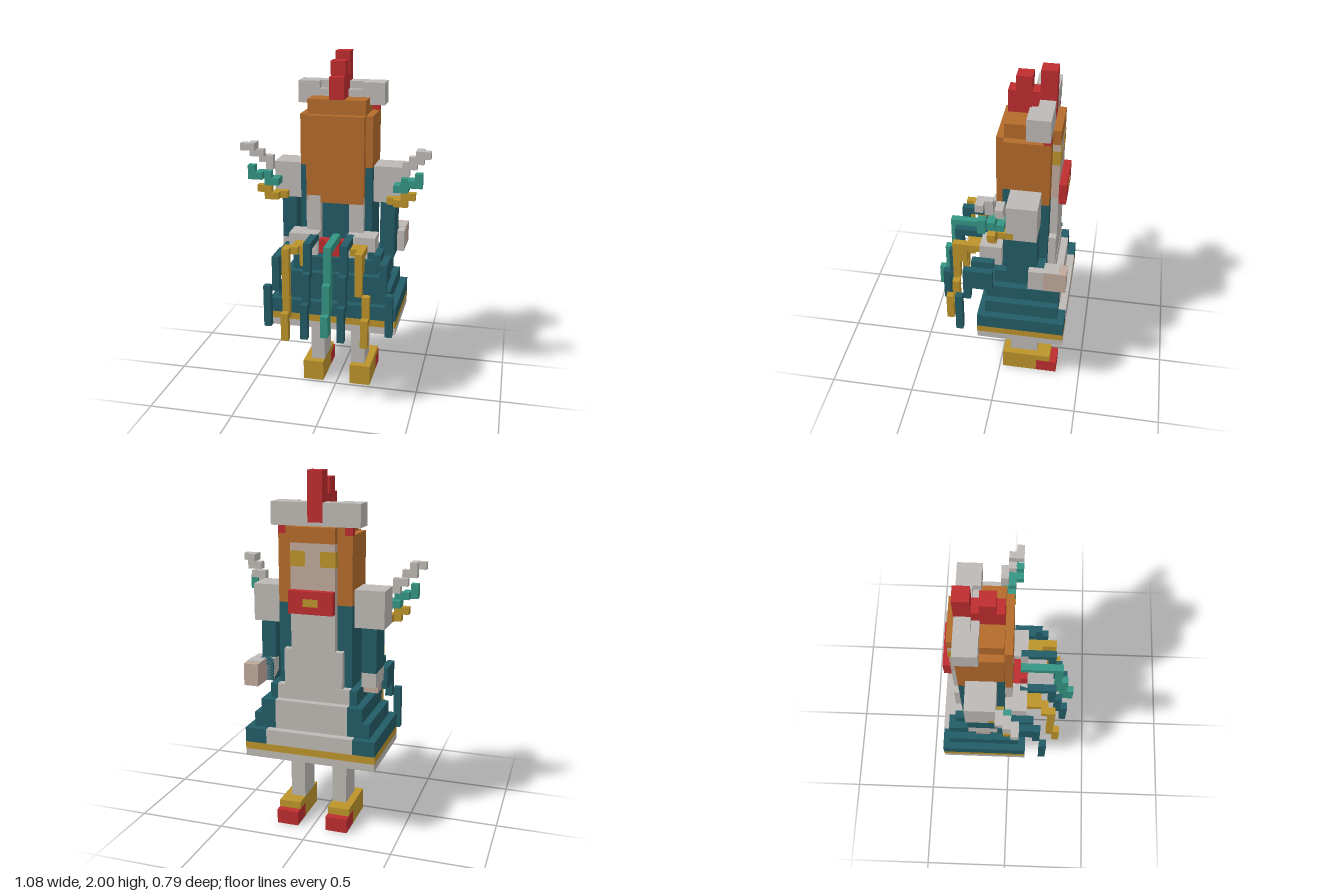
import * as THREE from 'three';

const U = 1 / 24; // one block of the grid
const paint = (name, color) => {
  const m = new THREE.MeshStandardMaterial({ color });
  m.name = name;
  return m;
};

export function createModel() {
  const root = new THREE.Group();
  root.name = 'blockFigure';
  const teal = paint('teal', 0x235c66), mint = paint('seaGreen', 0x359684), orange = paint('orange', 0xb46b2b);
  const grey = paint('paleGrey', 0xbdb9b5), gold = paint('gold', 0xbd942b), red = paint('red', 0xbf2d2f);
  const skin = paint('skin', 0xc0a99c);

  // Box given by its limits in blocks
  const box = (name, mat, x0, x1, y0, y1, z0, z1) => {
    const m = new THREE.Mesh(new THREE.BoxGeometry((x1 - x0) * U, (y1 - y0) * U, (z1 - z0) * U), mat);
    m.position.set((x0 + x1) * U / 2, (y0 + y1) * U / 2, (z0 + z1) * U / 2);
    m.name = name;
    root.add(m);
  };
  // The same box on both sides
  const pair = (name, mat, x0, x1, ...r) => {
    box(name + 'Left', mat, x0, x1, ...r);
    box(name + 'Right', mat, -x1, -x0, ...r);
  };

  // Shoes and legs
  pair('shoe', gold, 2, 5, 0, 3, -5.5, -0.5);
  pair('shoeTop', gold, 2, 5, 2, 3, -7.5, -5.5);
  pair('shoeToe', red, 2, 5, 0, 2, -8.5, -5.5);
  pair('leg', grey, 2, 4, 3, 9, -5.5, -1.5);
  pair('legCuff', teal, 2, 4, 9, 10, -5.5, -1.5);

  // Stepped skirt
  box('skirtHem', grey, -9, 9, 10, 11, -9.5, 2.5);
  box('skirtTrim', gold, -9, 9, 11, 12, -9.5, 2.5);
  [[9, 12, 14, -9.5, 2.5], [8, 14, 16, -8.5, 1.5], [7, 16, 18, -8.5, 1.5], [6, 18, 20, -7.5, 0.5]]
    .forEach(([w, y0, y1, z0, z1]) => box('skirtTier', teal, -w, w, y0, y1, z0, z1));
  // Pale apron over the skirt
  [[6, 12, 14, -9.5], [5, 14, 18, -8.5], [5, 18, 20, -7.5]]
    .forEach(([w, y0, y1, z]) => box('apron', grey, -w, w, y0, y1 + 0.05, z - 0.05, z + 1));

  // Torso, chest panel and straps
  box('torso', teal, -5, 5, 20, 31, -6.5, -0.5);
  box('shoulders', teal, -5, 5, 31, 33, -2.5, -0.5);
  box('chestPanelLower', grey, -4, 4, 20, 25, -7.5, -6.5);
  box('chestPanel', grey, -3, 3, 25, 31, -7.5, -6.5);
  pair('strap', grey, 2, 4, 21, 29, -0.5, 0.5);

  // Arms
  pair('shoulderPuff', grey, 5, 9, 28, 33, -5.5, -1.5);
  pair('sleeve', teal, 6, 8, 22, 28, -5.5, -1.5);
  box('forearmLeft', teal, 6, 8, 20, 23, -6.5, -1.5);
  box('cuffLeft', grey, 6, 9, 20, 23, -6.5, -4.5);
  box('handLeft', skin, 7, 9, 20, 23, -9.5, -6.5);
  box('handBackLeft', grey, 7, 9, 23, 23.1, -8.5, -6.5);
  box('cuffRight', grey, -8, -6, 20, 22, -5.5, -1.5);
  box('handRight', skin, -8, -6, 19, 20, -4.5, -2.5);

  // Head and hair
  box('hair', orange, -4, 4, 31, 41, -6.5, -0.5);
  box('hairCrown', orange, -4, 4, 41, 42, -3.5, -0.5);
  box('hairSides', orange, -5, 5, 31, 40, -6.5, -2.5);
  box('hairBack', orange, -4, 4, 28, 40, -0.5, 0.5);
  box('hairBackWide', orange, -5, 5, 33, 40, -2.5, -0.5);
  box('fringe', orange, -3, 3, 39, 41, -7.5, -6.5);
  box('face', skin, -3, 3, 31, 39, -7.5, -6.5);
  pair('eye', gold, 1, 3.04, 36, 38, -7.55, -6.5);
  box('mouth', red, -3, 3, 30, 33, -8.5, -7.5);
  box('mouthMark', gold, -1, 1, 31, 32, -8.55, -8.5);

  // Hat band and crest
  box('hat', grey, -6, 6, 41, 44, -6.5, -4.5);
  box('hatRear', grey, -3, 3, 41, 43, -4.5, -3.5);
  pair('hatEnd', grey, 3, 6, 41, 44, -4.5, -3.5);
  pair('hatBead', red, 4, 5, 40, 41, -6.5, -5.5);
  box('crestFront', red, -1, 1, 41.5, 48, -6.55, -4.5);
  box('crestMiddle', red, -1, 1, 43, 45, -4.5, -3.5);
  box('crestRear', red, -1, 1, 42, 45, -3.5, -0.5);
  box('crestRearTip', red, -1, 1, 45, 47, -3.5, -1.5);

  // Shoulder plumes, each a chain of blocks
  [[9, 11, 33, 34, -1.5, -0.5], [9, 10, 32, 33, -1.5, -0.5], [10, 12, 34, 35, -0.5, 0.5], [11, 12, 35, 36, -0.5, 0.5],
    [11, 13, 35, 36, 0.5, 1.5]].forEach(b => pair('palePlume', grey, ...b));
  [[8, 10, 30, 31, -1.5, 0.5], [9, 11, 31, 32, -0.5, 0.5], [10, 11, 31, 32, 0.5, 1.5], [11, 12, 31, 33, 0.5, 1.5]]
    .forEach(b => pair('greenPlume', mint, ...b));
  [[7, 9, 28, 29, -2.5, -0.5], [8, 10, 28, 29, -0.5, 0.5], [9, 11, 29, 30, -0.5, 0.5]]
    .forEach(b => pair('goldPlume', gold, ...b));

  // Bow at the waist
  pair('bowLobe', grey, 2, 6, 21, 24, -0.5, 2.5);
  box('bowKnot', red, -2, 2, 21, 23, 0.5, 1.5);
  box('bowKnotFront', red, -1, 1, 21, 23, 1.5, 2.5);

  // Drooping tail feathers
  [[23, 24, 1.5, 6.5], [15, 24, 6.5, 7.5], [12, 19, 7.5, 8.5], [12, 15, 8.5, 9.5]]
    .forEach(b => box('middleTail', mint, 0, 1, ...b));
  [[23, 24, 1.5, 5.5], [19, 24, 5.5, 6.5], [15, 20, 6.5, 7.5], [11, 16, 7.5, 8.5]]
    .forEach(b => pair('innerTail', teal, 2, 3, ...b));
  [[3, 5, 22, 23, 2.5, 4.5], [4, 5, 20, 23, 4.5, 5.5], [4, 5, 17, 23, 5.5, 6.5], [5, 6, 13, 17, 5.5, 6.5],
    [5, 6, 10, 14, 6.5, 7.5]].forEach(b => box('goldTailLeft', gold, ...b));
  [[-5, -3, 22, 23, 2.5, 4.5], [-4, -3, 20, 22, 3.5, 4.5], [-6, -4, 22, 23, 4.5, 5.5], [-6, -5, 13, 23, 5.5, 6.5],
    [-6, -5, 10, 14, 6.5, 7.5]].forEach(b => box('goldTailRight', gold, ...b));
  [[5, 7, 21, 22, 0.5, 2.5], [6, 7, 20, 22, 2.5, 3.5], [7, 8, 18, 21, 0.5, 3.5], [7, 8, 16, 21, 3.5, 4.5],
    [8, 9, 11, 17, 4.5, 5.5]].forEach(b => pair('outerTail', teal, ...b));

  return root;
}
